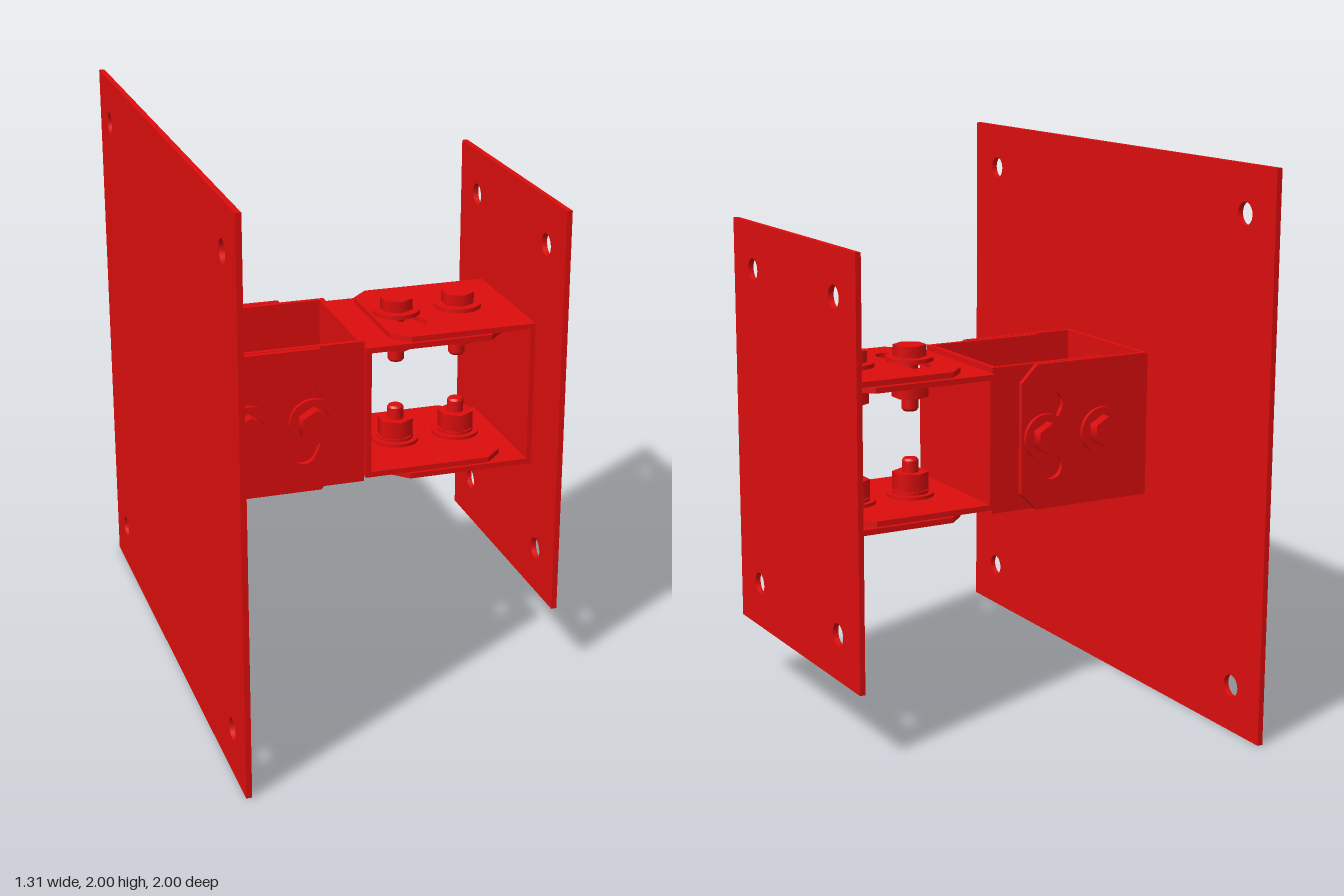
import * as THREE from 'three';

const material = new THREE.MeshStandardMaterial({ color: 0xdd0d0d });
const PIVOT = -0.435, SLOT_BOLT = -0.2, HALF = 0.265, T = 0.02;

function add(parent, name, geometry, x = 0, y = 0, z = 0) {
  const mesh = new THREE.Mesh(geometry, material);
  mesh.name = name;
  mesh.position.set(x, y, z);
  parent.add(mesh);
  return mesh;
}

function circle(x, y, r) {
  return new THREE.Path().absarc(x, y, r, 0, Math.PI * 2, true);
}

function extrude(shape, depth) {
  return new THREE.ExtrudeGeometry(shape, { depth, bevelEnabled: false, curveSegments: 16 });
}

// Curved slot that follows an arc around the pivot bolt
function arcSlot(radius, half, angle) {
  const cap = s => [PIVOT + radius * Math.cos(angle), s * radius * Math.sin(angle)];
  const path = new THREE.Path();
  path.absarc(PIVOT, 0, radius + half, -angle, angle, false);
  path.absarc(...cap(1), half, angle, angle + Math.PI, false);
  path.absarc(PIVOT, 0, radius - half, angle, -angle, true);
  path.absarc(...cap(-1), half, Math.PI - angle, Math.PI * 2 - angle, false);
  return path;
}

// Channel arm running from its root to a free end with clipped corners
function armGeometry(root, end, slotted) {
  const c = 0.063 * Math.sign(end - root);
  const shape = new THREE.Shape([
    [root, -HALF], [end - c, -HALF], [end, -HALF + Math.abs(c)],
    [end, HALF - Math.abs(c)], [end - c, HALF], [root, HALF],
  ].map(p => new THREE.Vector2(...p)));
  shape.holes.push(circle(PIVOT, 0, 0.04));
  shape.holes.push(slotted ? arcSlot(SLOT_BOLT - PIVOT, 0.045, 0.51) : circle(SLOT_BOLT, 0, 0.04));
  return extrude(shape, T);
}

// Mounting plate in the yz plane with four corner holes
function plateGeometry(width, height, holeZ, holeY) {
  const w = width / 2, h = height / 2;
  const shape = new THREE.Shape([[-w, -h], [w, -h], [w, h], [-w, h]].map(p => new THREE.Vector2(...p)));
  for (const sx of [-1, 1]) for (const sy of [-1, 1]) shape.holes.push(circle(sx * holeZ, sy * holeY, 0.04));
  return extrude(shape, T).translate(0, 0, -T / 2).rotateY(Math.PI / 2);
}

// Bolt assembly along z, with its head outwards
function bolt(x) {
  const group = new THREE.Group();
  group.name = 'bolt';
  group.position.x = x;
  const disc = (name, r, z0, z1, sides = 32, rInner = r) =>
    add(group, name, new THREE.CylinderGeometry(r, rInner, z1 - z0, sides).rotateX(Math.PI / 2), 0, 0, (z0 + z1) / 2);
  disc('hexHead', 0.06, 0.285, 0.327, 6);
  disc('outerWasher', 0.086, 0.27, 0.285);
  disc('shank', 0.03, 0.095, 0.285, 24);
  disc('shankTip', 0.03, 0.087, 0.095, 24, 0.024);
  disc('innerWasher', 0.086, 0.213, 0.225);
  disc('lockWasher', 0.066, 0.203, 0.213);
  disc('nut', 0.066, 0.138, 0.203, 6);
  return group;
}

// Outer and inner channels nested into each other, bolted through both arms
function bracket(name) {
  const group = new THREE.Group();
  group.name = name;
  add(group, 'outerChannelBase', new THREE.BoxGeometry(T, HALF * 2, 0.536), -0.625);
  add(group, 'innerChannelBase', new THREE.BoxGeometry(T, HALF * 2, 0.486), -0.01);
  for (const turn of [0, Math.PI]) {
    const side = new THREE.Group();
    side.name = 'boltedArms';
    add(side, 'outerArm', armGeometry(-0.635, -0.105, true), 0, 0, 0.25);
    add(side, 'innerArm', armGeometry(0, -0.53, false), 0, 0, 0.225);
    side.add(bolt(PIVOT), bolt(SLOT_BOLT));
    side.rotation.x = turn;
    group.add(side);
  }
  return group;
}

export function createModel() {
  const model = new THREE.Group();
  model.name = 'swivelMount';

  add(model, 'largePlate', plateGeometry(2, 2, 0.833, 0.833), -0.643, 1);
  add(model, 'smallPlate', plateGeometry(1, 1.5, 0.333, 0.583), 0.643, 1);

  // Two identical brackets back to back, the second turned a quarter
  const first = bracket('panBracket');
  const second = bracket('tiltBracket');
  second.rotation.set(Math.PI / 2, Math.PI, 0);
  for (const part of [first, second]) {
    part.position.y = 1;
    model.add(part);
  }
  return model;
}
